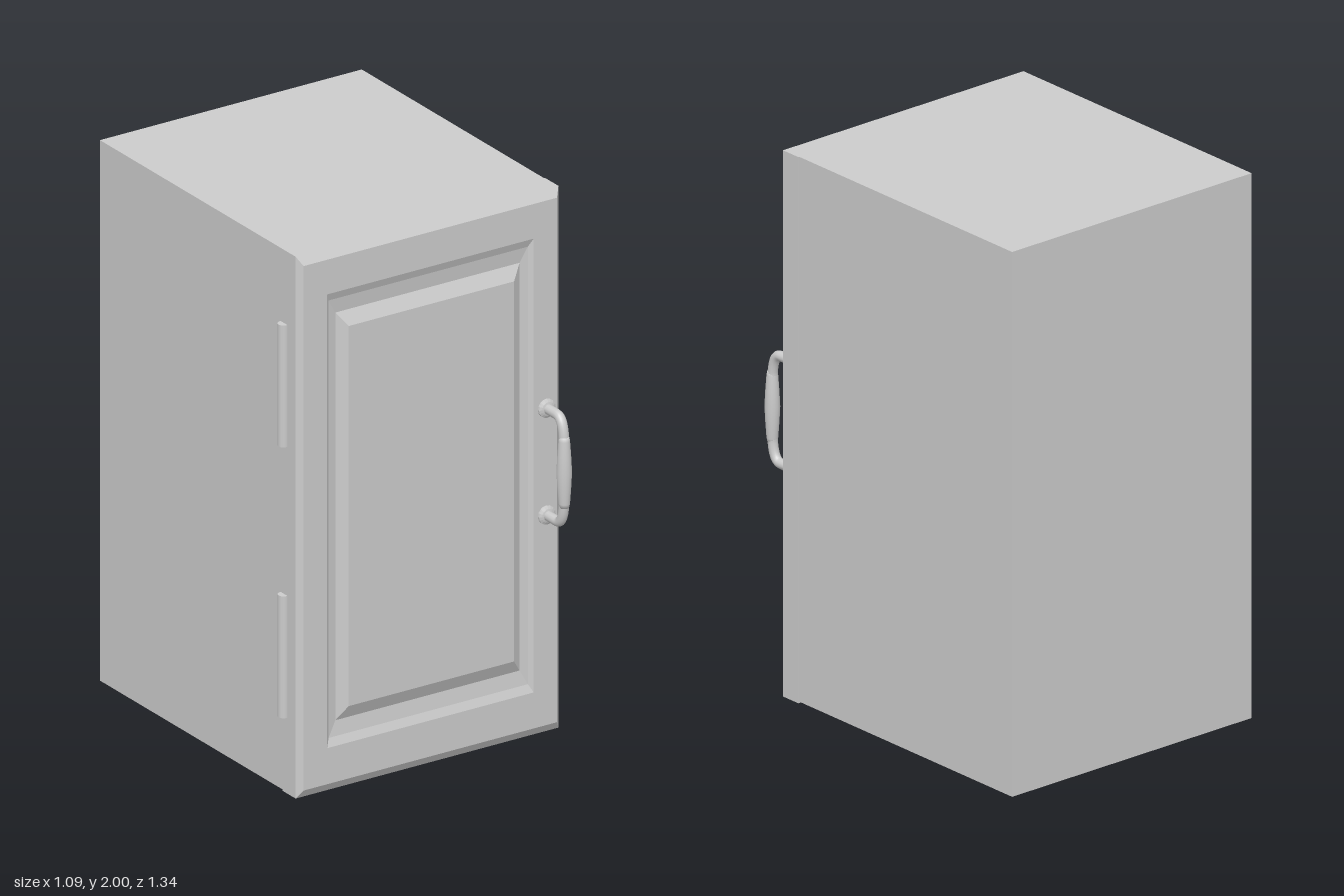
import * as THREE from 'three';

const grey = new THREE.MeshStandardMaterial({ color: 0xcccccc });
const flat = new THREE.MeshStandardMaterial({ color: 0xcccccc, flatShading: true });

function part(name, geometry, material, parent, x = 0, y = 0, z = 0) {
  const mesh = new THREE.Mesh(geometry, material);
  mesh.name = name;
  mesh.position.set(x, y, z);
  parent.add(mesh);
  return mesh;
}

// Skins a stack of rectangles [left, right, bottom, top, z], capped at both ends
function rectangleLoft(rings) {
  const pos = [];
  const corners = rings.map(([l, r, b, t, z]) => [[l, b, z], [r, b, z], [r, t, z], [l, t, z]]);
  const quad = (a, b, c, d) => pos.push(...a, ...b, ...c, ...a, ...c, ...d);
  for (let k = 0; k < corners.length - 1; k++) {
    const p = corners[k], q = corners[k + 1];
    for (let i = 0; i < 4; i++) {
      const j = (i + 1) % 4;
      quad(p[i], p[j], q[j], q[i]);
    }
  }
  const [a, b, c, d] = corners[0];
  quad(d, c, b, a);
  quad(...corners[corners.length - 1]);
  const g = new THREE.BufferGeometry();
  g.setAttribute('position', new THREE.Float32BufferAttribute(pos, 3));
  g.computeVertexNormals();
  return g;
}

function makeHandle() {
  const handle = new THREE.Group();
  handle.name = 'handle';

  // Bent bar, running from one mount to the other
  const v = (y, z) => new THREE.Vector3(0, y, z);
  const path = new THREE.CurvePath();
  path.add(new THREE.LineCurve3(v(-0.197, 0), v(-0.197, 0.065)));
  path.add(new THREE.QuadraticBezierCurve3(v(-0.197, 0.065), v(-0.197, 0.1), v(-0.125, 0.107)));
  path.add(new THREE.LineCurve3(v(-0.125, 0.107), v(0.125, 0.107)));
  path.add(new THREE.QuadraticBezierCurve3(v(0.125, 0.107), v(0.197, 0.1), v(0.197, 0.065)));
  path.add(new THREE.LineCurve3(v(0.197, 0.065), v(0.197, 0)));
  part('handleBar', new THREE.TubeGeometry(path, 60, 0.018, 12), grey, handle);

  // Swollen grip
  const profile = [[0, -0.13], [0.017, -0.13], [0.02, -0.115], [0.024, -0.06], [0.027, 0],
    [0.024, 0.06], [0.02, 0.115], [0.017, 0.13], [0, 0.13]].map(p => new THREE.Vector2(...p));
  part('handleGrip', new THREE.LatheGeometry(profile, 16), grey, handle, 0, 0, 0.109);

  // Round mounting collars
  for (const y of [-0.197, 0.197]) {
    const collar = [[0, 0], [0.034, 0], [0.034, 0.007], [0.025, 0.012], [0.018, 0.014]]
      .map(p => new THREE.Vector2(...p));
    part('handleCollar', new THREE.LatheGeometry(collar, 16), flat, handle, 0, y, 0).rotation.x = Math.PI / 2;
  }
  return handle;
}

export function createModel() {
  const cabinet = new THREE.Group();
  cabinet.name = 'cabinet';

  part('cabinetBody', new THREE.BoxGeometry(1.067, 1.995, 1.106), flat, cabinet, 0.0065, 1.0025, -0.117);

  // Door: chamfered rim, sunken border and raised centre panel
  part('door', rectangleLoft([
    [-0.527, 0.544, 0, 2, 0.436],
    [-0.527, 0.544, 0, 2, 0.515],
    [-0.508, 0.525, 0.032, 1.968, 0.535],
    [-0.412, 0.43, 0.165, 1.84, 0.535],
    [-0.398, 0.414, 0.195, 1.81, 0.523],
    [-0.366, 0.385, 0.25, 1.755, 0.516],
    [-0.328, 0.346, 0.302, 1.705, 0.541],
  ]), flat, cabinet);

  // Hinge barrels on the right-hand edge
  for (const y of [0.505, 1.505]) {
    part('hingeBarrel', new THREE.CylinderGeometry(0.021, 0.021, 0.45, 12), grey, cabinet, -0.529, y, 0.445);
  }

  const handle = makeHandle();
  handle.position.set(0.481, 1.006, 0.535);
  cabinet.add(handle);
  return cabinet;
}
